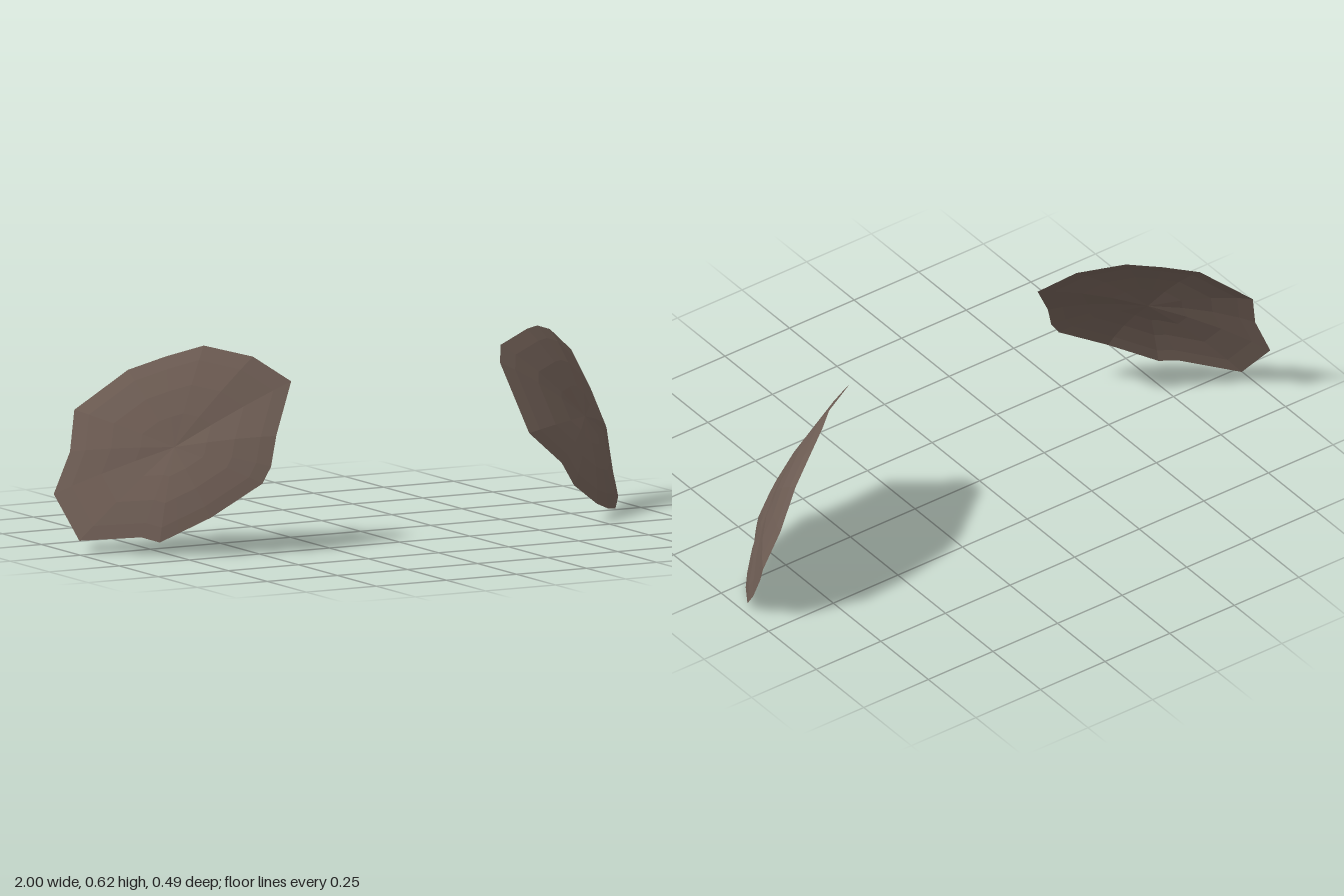
import * as THREE from 'three';

// Rim outlines, clockwise from the front: x, y, z
const leftRim = [
  [0.45, 0.51, 0.085], [0.48, 0.557, 0.035], [0.63, 0.583, -0.065], [0.70, 0.58, -0.125],
  [0.77, 0.557, -0.17], [0.87, 0.48, -0.215], [0.95, 0.357, -0.243], [1.0, 0.22, -0.22],
  [1.0, 0.17, -0.205], [0.99, 0.075, -0.155], [0.983, 0.02, -0.115], [0.92, 0.0, -0.02],
  [0.87, 0.01, 0.02], [0.77, 0.047, 0.13], [0.66, 0.12, 0.183], [0.62, 0.193, 0.175], [0.49, 0.30, 0.20],
];
const rightRim = [
  [-1.0, 0.17, -0.17], [-0.945, 0.30, -0.165], [-0.91, 0.425, -0.20], [-0.76, 0.55, -0.125],
  [-0.65, 0.59, -0.08], [-0.54, 0.622, -0.035], [-0.415, 0.59, 0.055], [-0.32, 0.515, 0.13],
  [-0.415, 0.36, 0.205], [-0.45, 0.27, 0.235], [-0.485, 0.22, 0.243], [-0.65, 0.12, 0.208],
  [-0.74, 0.07, 0.16], [-0.79, 0.042, 0.133], [-0.83, 0.055, 0.085], [-0.97, 0.035, -0.06],
];

// Domed shell: rings shrink from the rim to the middle while rising along the outward normal
function shellGeometry(rim, outward, height) {
  const pts = rim.map((p) => new THREE.Vector3(...p));
  const n = pts.length;
  const up = new THREE.Vector3(...outward).normalize();
  const centre = new THREE.Vector3();
  pts.forEach((p) => centre.addScaledVector(p, 1 / n));
  const rings = [1, 0.85, 0.6, 0.32];
  const pos = [];
  const index = [];
  for (const t of rings) {
    for (const p of pts) {
      const v = centre.clone().lerp(p, t).addScaledVector(up, height * (1 - t ** 2.4));
      pos.push(v.x, v.y, v.z);
    }
  }
  const tip = centre.clone().addScaledVector(up, height);
  pos.push(tip.x, tip.y, tip.z);
  for (let i = 0; i < n; i++) {
    const j = (i + 1) % n;
    for (let r = 0; r < rings.length - 1; r++) {
      const a = r * n + i, b = r * n + j;
      index.push(a, a + n, b, b, a + n, b + n);
    }
    const last = (rings.length - 1) * n;
    index.push(last + i, rings.length * n, last + j);
  }
  // reverse so that the faces point outward
  for (let k = 0; k < index.length; k += 3) {
    const [a, b, c] = index.slice(k, k + 3).map((q) => new THREE.Vector3().fromArray(pos, q * 3));
    if (b.sub(a).cross(c.sub(a)).dot(up) < 0) [index[k + 1], index[k + 2]] = [index[k + 2], index[k + 1]];
  }
  const geo = new THREE.BufferGeometry();
  geo.setAttribute('position', new THREE.Float32BufferAttribute(pos, 3));
  geo.setIndex(index);
  geo.computeVertexNormals();
  return geo;
}

export function createModel() {
  const group = new THREE.Group();
  group.name = 'shellPair';
  const brown = new THREE.MeshStandardMaterial({ color: 0x6e5d54, flatShading: true, side: THREE.DoubleSide });
  brown.name = 'dullBrown';

  const left = new THREE.Mesh(shellGeometry(leftRim, [0.62, 0.405, 0.67], 0.05), brown);
  left.name = 'leftShell';
  const right = new THREE.Mesh(shellGeometry(rightRim, [-0.54, 0.44, 0.71], 0.045), brown);
  right.name = 'rightShell';
  group.add(left, right);
  return group;
}
